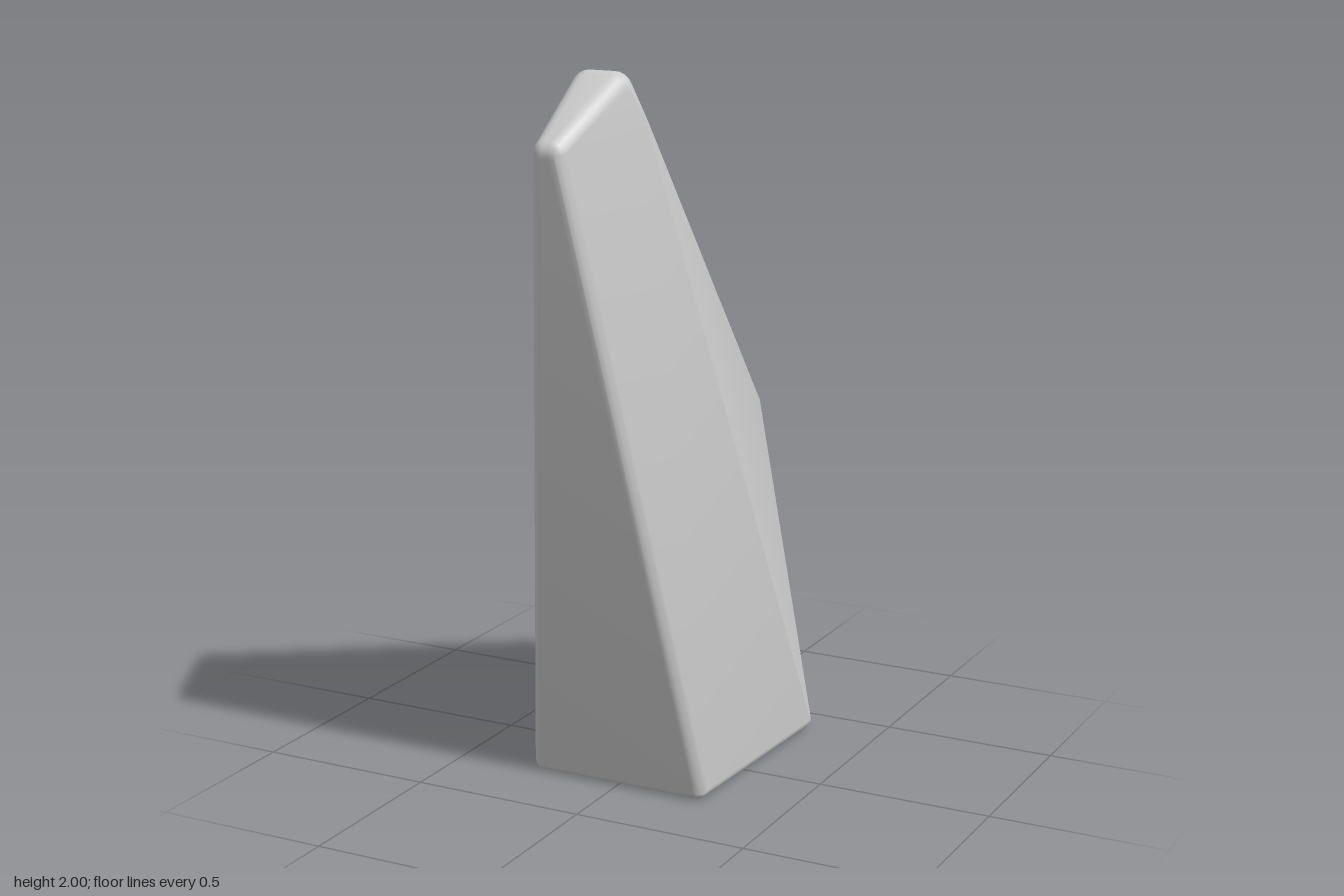
import * as THREE from 'three';
import { ConvexGeometry } from 'three/addons/geometries/ConvexGeometry.js';
import { toCreasedNormals } from 'three/addons/utils/BufferGeometryUtils.js';

// Rounded corners on the left half: x, y, z, radius
const corners = [
  [0.24, 0.03, 0.245, 0.03],    // base, front
  [0.27, 0.03, -0.375, 0.03],   // base, back side
  [0.235, 0.03, -0.415, 0.03],  // base, back
  [0.015, 0.45, -0.585, 0.05],  // rear point
  [0.015, 0.72, -0.525, 0.05],  // lower ridge
  [0.03, 0.94, -0.425, 0.07],   // ridge bend
  [0.065, 1.85, 0.28, 0.04],    // shoulder below the top
  [0.035, 1.95, 0.335, 0.05],   // top
  [0.01, 1.82, 0.597, 0.04],    // front tip
];

// Points on a small sphere around a corner
function spherePoints(x, y, z, r) {
  const position = new THREE.SphereGeometry(r, 16, 10).translate(x, y, z).attributes.position;
  const points = [];
  for (let i = 0; i < position.count; i++) {
    points.push(new THREE.Vector3().fromBufferAttribute(position, i));
  }
  return points;
}

export function createModel() {
  const group = new THREE.Group();
  group.name = 'standingStone';

  // Mirror the corners and wrap them in one rounded hull
  const points = [];
  for (const [x, y, z, r] of corners) {
    for (const side of [1, -1]) points.push(...spherePoints(side * x, y, z, r));
  }
  const geometry = toCreasedNormals(new ConvexGeometry(points), 0.5);

  const stone = new THREE.Mesh(geometry, new THREE.MeshStandardMaterial({ color: 0xcccccc }));
  stone.name = 'taperedStone';
  group.add(stone);
  return group;
}
